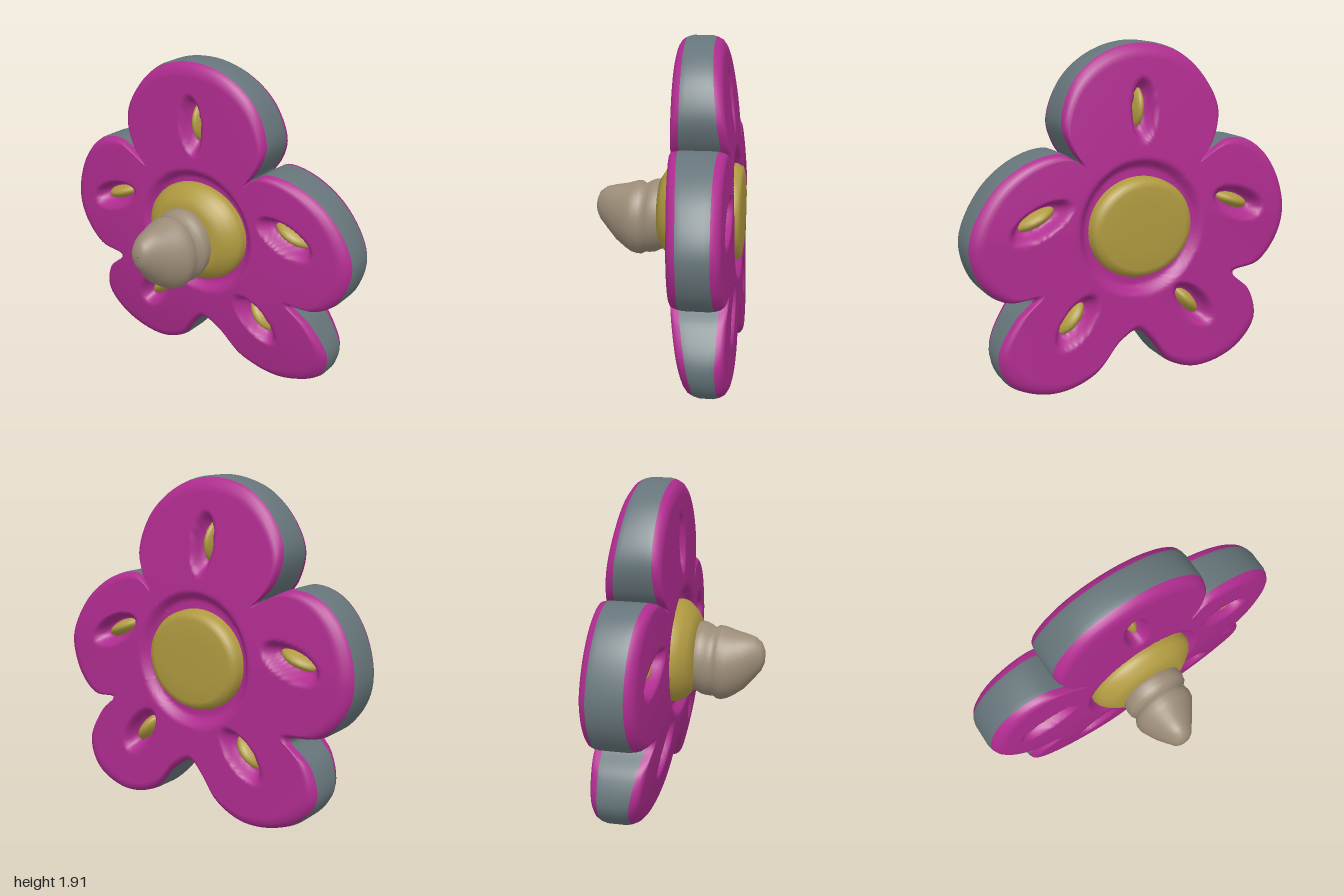
import * as THREE from 'three';

const CX = 0, CY = 0.92;
const { smoothstep, lerp } = THREE.MathUtils;

// Five-petal outline, clockwise seen from the front
const OUTLINE = [
  [-0.40, 1.27], [-0.49, 1.37], [-0.54, 1.54], [-0.47, 1.71], [-0.31, 1.86], [-0.07, 1.925], [0.17, 1.88],
  [0.36, 1.735], [0.445, 1.52], [0.41, 1.39], [0.345, 1.29],
  [0.45, 1.355], [0.65, 1.32], [0.86, 1.17], [0.99, 0.91], [0.93, 0.69], [0.80, 0.58], [0.64, 0.58],
  [0.75, 0.47], [0.85, 0.265], [0.78, 0.10], [0.54, 0.012], [0.30, 0.08], [0.14, 0.25], [0.02, 0.31],
  [-0.07, 0.23], [-0.18, 0.09], [-0.39, 0.012], [-0.66, 0.08], [-0.80, 0.24], [-0.76, 0.425], [-0.63, 0.56],
  [-0.82, 0.60], [-0.955, 0.745], [-1.0, 0.92], [-0.93, 1.17], [-0.79, 1.32], [-0.61, 1.365],
];

// Seeds: x, y, angle in degrees, half length, half width
const SEEDS = [
  [-0.035, 1.56, 95, 0.13, 0.04],
  [0.595, 1.01, -25, 0.14, 0.05],
  [-0.64, 0.99, 20, 0.14, 0.05],
  [-0.335, 0.42, 48, 0.13, 0.052],
  [0.40, 0.425, -50, 0.13, 0.052],
];

const material = (color) => new THREE.MeshStandardMaterial({ color, roughness: 0.8 });

function addMesh(group, name, geometry, mat) {
  const mesh = new THREE.Mesh(geometry, mat);
  mesh.name = name;
  group.add(mesh);
  return mesh;
}

// Skin over closed loops of equal point count
function loft(loops) {
  const n = loops[0].length, index = [];
  for (let i = 0; i < loops.length - 1; i++) {
    for (let j = 0; j < n; j++) {
      const k = (j + 1) % n;
      const a = i * n + j, b = i * n + k, c = a + n, d = b + n;
      index.push(a, b, c, b, d, c);
    }
  }
  const geometry = new THREE.BufferGeometry().setFromPoints(loops.flat());
  geometry.setIndex(index);
  geometry.computeVertexNormals();
  return geometry;
}

// Hollows around the seeds and around the central disc
function dent(x, y) {
  let d = 0.05 * (1 - smoothstep(Math.hypot(x - CX, y - 0.91), 0.33, 0.39));
  for (const [sx, sy, deg, a, b] of SEEDS) {
    const t = deg * Math.PI / 180, dx = x - sx, dy = y - sy;
    const u = (dx * Math.cos(t) + dy * Math.sin(t)) / (a + 0.03);
    const v = (dy * Math.cos(t) - dx * Math.sin(t)) / (b + 0.025);
    d += 0.085 * (1 - smoothstep(Math.hypot(u, v), 0.65, 1.15));
  }
  return d;
}

// Gently curved front and back faces
function frontZ(x, y) {
  const v = y - CY;
  return -0.04 - 0.07 * x * x - 0.015 * x - (v > 0 ? 0.015 : 0.14) * v * v;
}
function backZ(x, y) {
  const v = y - CY;
  return -0.42 + (v > 0 ? 0.11 * v ** 1.3 : -0.015 * v * v) + 0.035 * x * x;
}

export function createModel() {
  const group = new THREE.Group();
  const pink = material(0xb02c90), rimGrey = material(0x66757a);
  const gold = material(0xb09a40), tan = material(0x9c8c78);

  // Flower slab: scaled outline rings for front face, rim and back face
  const curve = new THREE.CatmullRomCurve3(OUTLINE.map(([x, y]) => new THREE.Vector3(x, y, 0)), true, 'centripetal');
  const edge = curve.getSpacedPoints(280).slice(0, 280);
  const ring = (s, zAt) => edge.map((p) => {
    const x = lerp(CX, p.x, s), y = lerp(CY, p.y, s);
    return new THREE.Vector3(x, y, zAt(x, y));
  });
  const frontRing = ([s, drop]) => ring(s, (x, y) => frontZ(x, y) - drop - dent(x, y));
  const backRing = ([s, drop]) => ring(s, (x, y) => backZ(x, y) + drop + dent(x, y));
  const face = [];
  for (let i = 0; i <= 42; i++) face.push([lerp(0.25, 0.93, i / 42), 0]);
  face.push([0.955, 0.006], [0.978, 0.02], [0.992, 0.045]);

  addMesh(group, 'petalsFront', loft(face.map(frontRing)), pink);
  addMesh(group, 'petalsBack', loft(face.map(backRing).reverse()), pink);
  addMesh(group, 'petalRim', loft([
    frontRing([0.992, 0.045]), frontRing([1, 0.075]),
    ring(1, (x, y) => (frontZ(x, y) + backZ(x, y)) / 2),
    backRing([1, 0.075]), backRing([0.992, 0.045]),
  ]), rimGrey);

  // Seeds set into the hollows, showing on both faces
  for (const [x, y, deg, a, b] of SEEDS) {
    const front = frontZ(x, y) - 0.025, back = backZ(x, y) + 0.025;
    const seed = addMesh(group, 'seed', new THREE.SphereGeometry(1, 24, 16), gold);
    seed.position.set(x, y, (front + back) / 2);
    seed.scale.set(a, b, (front - back) / 2);
    seed.rotation.z = deg * Math.PI / 180;
  }

  // Central disc: domed in front, flat at the back
  const profile = [
    [0, -0.44], [0.15, -0.44], [0.26, -0.435], [0.295, -0.425], [0.315, -0.39], [0.325, -0.2],
    [0.335, -0.07], [0.325, -0.04], [0.30, -0.01], [0.26, 0.02], [0.21, 0.05], [0, 0.06],
  ].map(([r, z]) => new THREE.Vector2(r, z));
  const disc = addMesh(group, 'centreDisc', new THREE.LatheGeometry(profile, 64), gold);
  disc.rotation.x = Math.PI / 2;
  disc.position.set(-0.005, 0.91, 0);
  disc.scale.z = 0.9;

  // Stepped knob, tip to base: z, left, right, bottom, top
  const knob = [
    [0.44, -0.045, -0.035, 0.91, 0.92], [0.437, -0.08, 0, 0.87, 0.96], [0.42, -0.10, 0.025, 0.83, 1.00],
    [0.38, -0.125, 0.055, 0.78, 1.03], [0.32, -0.16, 0.10, 0.71, 1.045], [0.26, -0.185, 0.14, 0.665, 1.055],
    [0.225, -0.20, 0.165, 0.645, 1.065], [0.19, -0.205, 0.17, 0.635, 1.075], [0.165, -0.195, 0.165, 0.635, 1.075],
    [0.14, -0.18, 0.16, 0.65, 1.06], [0.115, -0.20, 0.185, 0.65, 1.075], [0.08, -0.205, 0.19, 0.655, 1.09],
    [0.05, -0.20, 0.185, 0.67, 1.09], [0, -0.19, 0.175, 0.69, 1.07],
  ].map(([z, x0, x1, y0, y1]) => Array.from({ length: 40 }, (_, j) => {
    const t = -j / 40 * Math.PI * 2;
    return new THREE.Vector3(
      (x0 + x1) / 2 + (x1 - x0) / 2 * Math.cos(t), (y0 + y1) / 2 + (y1 - y0) / 2 * Math.sin(t), z);
  }));
  addMesh(group, 'knob', loft(knob), tan);

  return group;
}
